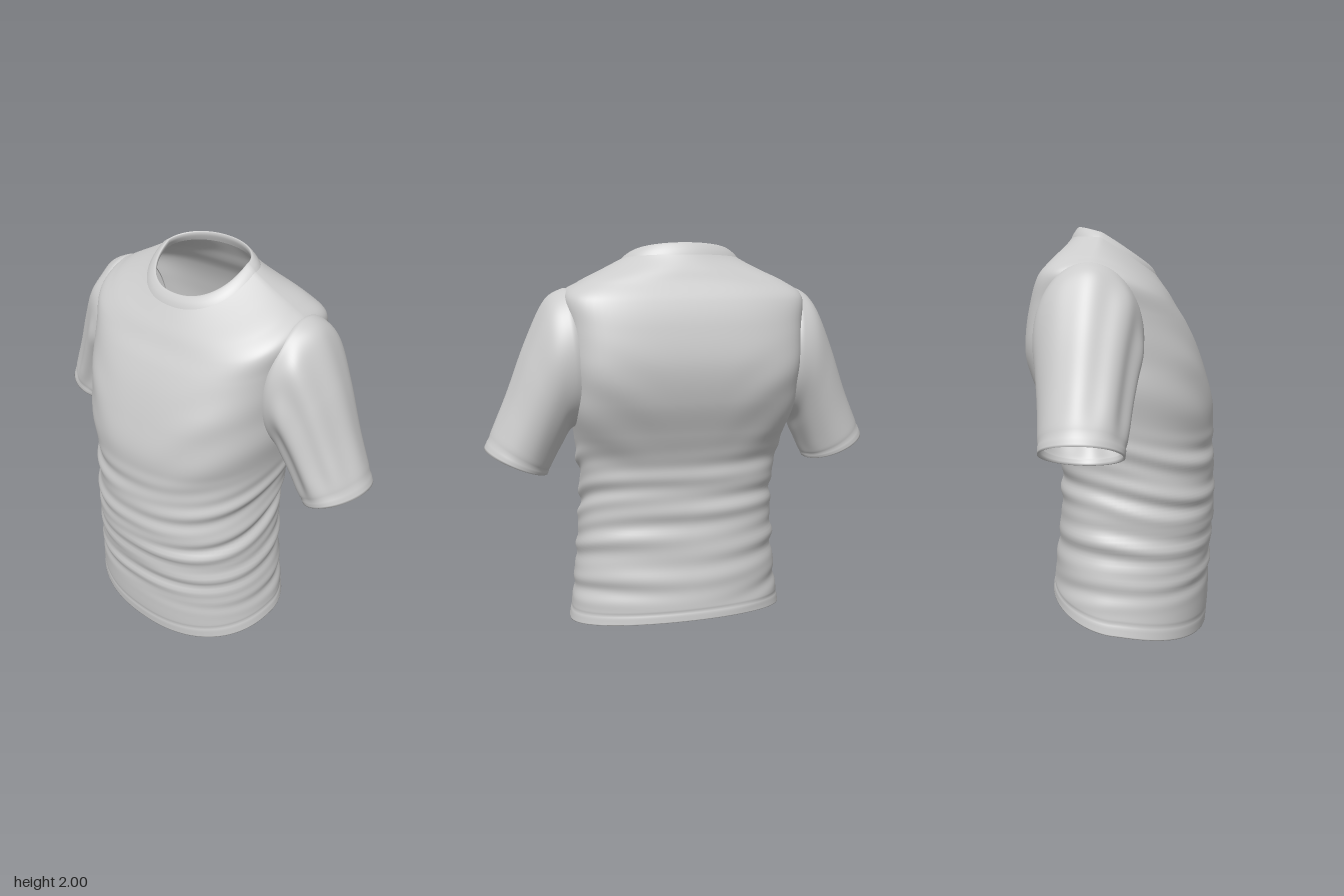
import * as THREE from 'three';

const SEG = 112;
const cloth = new THREE.MeshStandardMaterial({ color: 0xcccccc, side: THREE.DoubleSide, roughness: 0.9 });
const smooth = THREE.MathUtils.smoothstep;

// Smooth interpolation through a table of rows, v in 0..rows-1
function sample(rows, v) {
  const last = rows.length - 1;
  const i = Math.min(Math.floor(v), last - 1), t = v - i;
  const at = (k) => rows[Math.max(0, Math.min(last, k))];
  return rows[i].map((b, k) => {
    const a = at(i - 1)[k], c = at(i + 1)[k], d = at(i + 2)[k];
    return b + 0.5 * t * (c - a + t * (2 * a - 5 * b + 4 * c - d + t * (3 * (b - c) + d - a)));
  });
}

// Skin a list of closed rings; skip(point) leaves holes
function loft(name, rings, flip = false, skip = () => false) {
  const pos = [], idx = [];
  rings.forEach((ring) => ring.forEach((p) => pos.push(p.x, p.y, p.z)));
  for (let i = 0; i < rings.length - 1; i++) {
    for (let j = 0; j < SEG; j++) {
      if (skip(rings[i][j])) continue;
      const k = (j + 1) % SEG;
      const a = i * SEG + j, b = i * SEG + k, c = a + SEG, d = b + SEG;
      if (flip) idx.push(a, b, c, b, d, c);
      else idx.push(a, c, b, b, c, d);
    }
  }
  const geo = new THREE.BufferGeometry();
  geo.setAttribute('position', new THREE.Float32BufferAttribute(pos, 3));
  geo.setIndex(idx);
  geo.computeVertexNormals();
  const mesh = new THREE.Mesh(geo, cloth);
  mesh.name = name;
  return mesh;
}

const makeRing = (fn) => Array.from({ length: SEG }, (_, j) => fn((j / SEG) * Math.PI * 2));

// Torso rows: half width, side y, side z, front y, front z, back y, back z
const torsoRows = [
  [0.572, 0.09, -0.02, 0.0, 0.42, 0.17, -0.38],
  [0.553, 0.20, -0.02, 0.13, 0.43, 0.26, -0.37],
  [0.53, 0.38, 0.0, 0.34, 0.435, 0.41, -0.35],
  [0.508, 0.62, 0.0, 0.6, 0.455, 0.62, -0.325],
  [0.498, 0.8, -0.01, 0.8, 0.452, 0.8, -0.32],
  [0.515, 0.97, -0.05, 0.98, 0.445, 0.97, -0.335],
  [0.538, 1.12, -0.09, 1.13, 0.442, 1.12, -0.385],
  [0.553, 1.28, -0.12, 1.28, 0.405, 1.28, -0.44],
  [0.56, 1.45, -0.13, 1.42, 0.357, 1.45, -0.462],
  [0.568, 1.63, -0.12, 1.53, 0.305, 1.62, -0.435],
  [0.575, 1.765, -0.11, 1.61, 0.255, 1.74, -0.395],
  [0.5, 1.82, -0.105, 1.67, 0.22, 1.82, -0.345],
  [0.39, 1.875, -0.1, 1.72, 0.185, 1.88, -0.315],
  [0.285, 1.928, -0.1, 1.768, 0.15, 1.945, -0.275],
];
const collarRows = [
  torsoRows[13],
  [0.264, 1.945, -0.1, 1.795, 0.135, 1.974, -0.259],
  [0.24, 1.957, -0.1, 1.818, 0.115, 2.0, -0.24],
  [0.237, 1.94, -0.1, 1.805, 0.108, 1.985, -0.235],
  [0.25, 1.915, -0.1, 1.785, 0.12, 1.955, -0.245],
];

// Gathered folds round the waist, rising to the back, and soft drapes on the chest
function foldDepth(a, x, y, z) {
  const gather = smooth(y, 0.14, 0.35) * (1 - smooth(y, 0.85, 1.1));
  const sag = y + 0.28 * z * smooth(y, 0.1, 0.8) + 0.012 * Math.sin(3 * a + 0.6);
  const wave = Math.sin(sag * 41 + 0.5 * Math.sin(2 * a)) * (0.7 + 0.3 * Math.sin(3 * a + 9 * y))
    + 0.4 * Math.sin(sag * 67 + 2 * a);
  const chest = smooth(y, 0.8, 1.1) * (1 - smooth(y, 1.3, 1.6));
  const drape = Math.sin(24 * (y - 0.7 * Math.abs(x))) * smooth(Math.abs(x), 0.1, 0.4);
  return gather * wave * (0.0055 + 0.004 * Math.abs(Math.cos(a))) + chest * drape * 0.004;
}

function torsoRing(row, inset = 0, folds = true) {
  const [hx, ys, zs, yf, zf, yb, zb] = row;
  // Oval at hem and neck, flat-backed and squarer across the chest
  const waist = smooth(ys, 0.1, 0.9) * (1 - smooth(ys, 1.8, 1.93));
  const chest = smooth(ys, 0.95, 1.4) * (1 - smooth(ys, 1.76, 1.92));
  const slope = 1.25 - 0.2 * smooth(ys, 1.8, 1.93);
  return makeRing((a) => {
    const c = Math.cos(a), s = Math.sin(a), isFront = s > 0;
    const n = isFront ? 2.25 + 0.55 * chest : 2.05 + 0.7 * waist + 1.5 * chest;
    const r = Math.pow(Math.abs(c) ** n + Math.abs(s) ** n, -1 / n);
    const side = r * Math.abs(s), drop = Math.pow(side, slope);
    const x = hx * r * c;
    const y = ys + ((isFront ? yf : yb) - ys) * drop;
    const z = zs + ((isFront ? zf : zb) - zs) * side;
    const d = (folds ? foldDepth(a, x, y, z) : 0) - inset;
    return new THREE.Vector3(x + c * d, y, z + s * d);
  });
}

function buildTorso() {
  const rings = [];
  // Turned-in hem
  for (const v of [0.6, 0.3, 0.02]) rings.push(torsoRing(sample(torsoRows, v), 0.012, false));
  const steps = 170, last = torsoRows.length - 1;
  for (let i = 0; i <= steps; i++) {
    const v = (i / steps) * last;
    const stitch = 0.004 * Math.exp(-(((v - 0.6) / 0.06) ** 2));
    rings.push(torsoRing(sample(torsoRows, v), stitch));
  }
  // Armholes stay open under the sleeves
  const inArmhole = (p) => Math.abs(p.x) > 0.44
    && ((p.y - 1.45) / 0.29) ** 2 + ((p.z + 0.125) / 0.205) ** 2 < 1;
  return loft('torso', rings, false, inArmhole);
}

function buildCollar() {
  const rings = [];
  for (let i = 0; i <= 24; i++) {
    const v = (i / 24) * 4;
    const raise = v < 2 ? 0.002 * Math.sin((v / 2) * Math.PI) : 0;
    rings.push(torsoRing(sample(collarRows, v), -raise, false));
  }
  return loft('collar', rings);
}

// Sleeve rows: upper x, upper y, lower x, lower y, half depth in z
const sleeveRows = [
  [0.535, 1.785, 0.5, 1.14, 0.238],
  [0.578, 1.79, 0.535, 1.14, 0.246],
  [0.66, 1.73, 0.565, 1.12, 0.24],
  [0.757, 1.535, 0.595, 1.065, 0.218],
  [0.855, 1.29, 0.63, 1.0, 0.198],
  [0.965, 1.05, 0.67, 0.915, 0.185],
];

function sleeveRing(v, sign, scale = 1) {
  const [tx, ty, bx, by, depth] = sample(sleeveRows, v);
  const bow = 0.01 * (1 - smooth(v, 0.8, 2.5));
  const mid = smooth(v, 1, 2.5) * (1 - smooth(v, 4.2, 5));
  return makeRing((a) => {
    const c = Math.cos(a), s = Math.sin(a);
    const fold = mid * 0.045 * Math.sin(8 * a + 0.5 * v) * (0.5 + 0.5 * Math.sin(a - 0.2));
    const k = scale * (1 + fold);
    return new THREE.Vector3(
      sign * ((tx + bx) / 2 + (k * c * (tx - bx)) / 2 - bow * s * s),
      (ty + by) / 2 + (k * c * (ty - by)) / 2,
      -0.125 + k * s * depth,
    );
  });
}

function buildSleeve(sign) {
  const rings = [];
  for (let i = 0; i <= 70; i++) {
    const v = (i / 70) * 5;
    rings.push(sleeveRing(v, sign, 1 - 0.02 * Math.exp(-(((v - 4.7) / 0.05) ** 2))));
  }
  // Turned-in cuff
  for (const v of [4.98, 4.85, 4.7]) rings.push(sleeveRing(v, sign, 0.95));
  return loft(sign > 0 ? 'leftSleeve' : 'rightSleeve', rings, sign > 0);
}

export function createModel() {
  const shirt = new THREE.Group();
  shirt.name = 'shirt';
  shirt.add(buildTorso(), buildCollar(), buildSleeve(1), buildSleeve(-1));
  return shirt;
}
